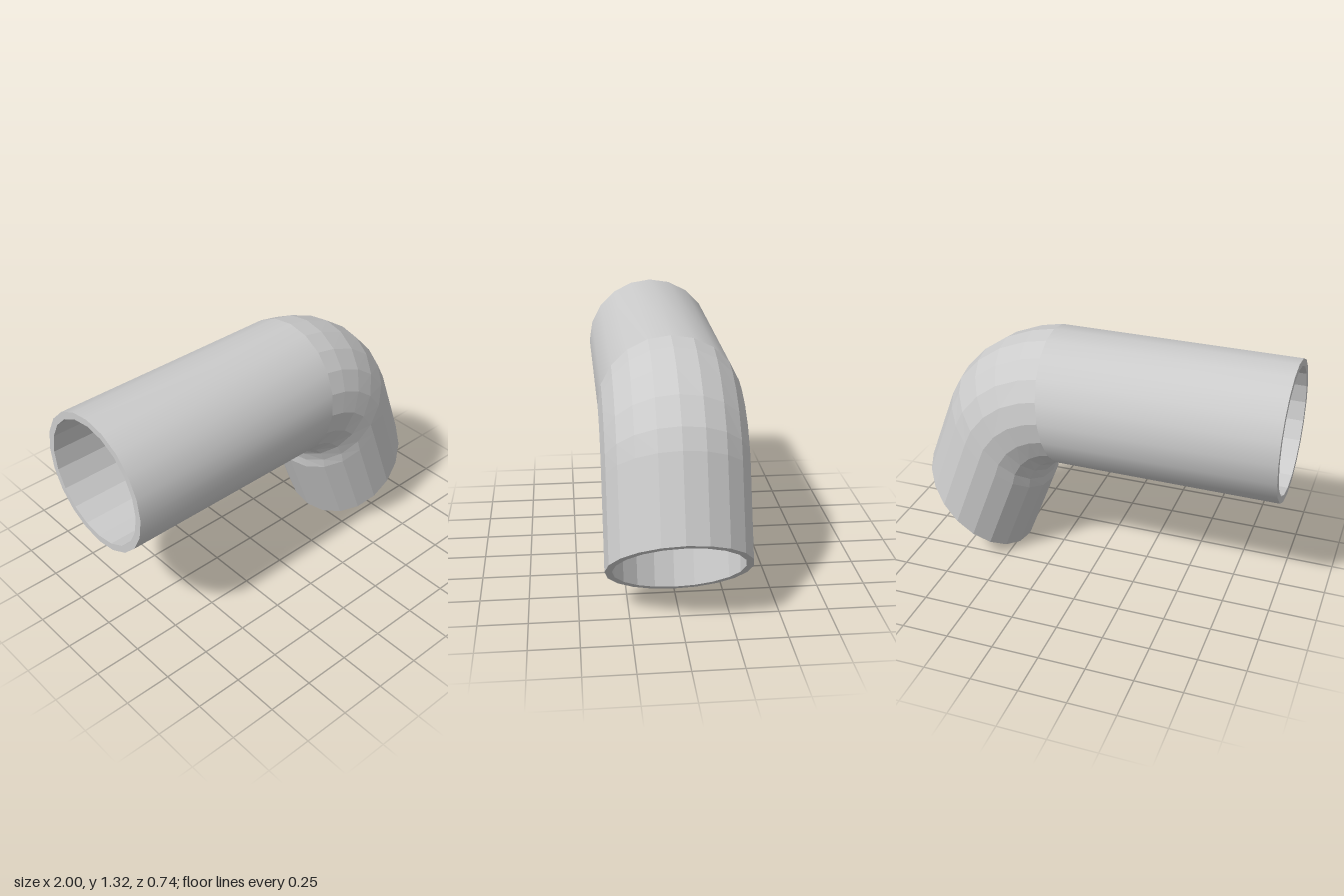
import * as THREE from 'three';

const SIDES = 20, OUTER = 0.37, INNER = 0.333;

// Each ring of the pipe: x and y of its topmost outer point, tilt in degrees
const RINGS = [
  [-1, 1.315, 0],
  [0.28, 1.315, 6.5],
  [0.40, 1.29, 13],
  [0.55, 1.23, 23],
  [0.68, 1.14, 32],
  [0.79, 1.02, 41],
  [0.845, 0.92, 46.5],
  [1, 0.509, 46.5],
];

// Points of one tilted ring at the given radius
function loop([x, y, tilt], radius) {
  const t = THREE.MathUtils.degToRad(tilt);
  const up = new THREE.Vector3(Math.sin(t), Math.cos(t), 0);
  const centre = new THREE.Vector3(x, y, 0).addScaledVector(up, -OUTER);
  return Array.from({ length: SIDES }, (_, j) => {
    const a = (j / SIDES) * Math.PI * 2;
    const p = centre.clone().addScaledVector(up, radius * Math.cos(a));
    p.z += radius * Math.sin(a);
    return p;
  });
}

// Skin through a sequence of loops
function loft(name, loops, flat) {
  const index = [];
  for (let i = 0; i < loops.length - 1; i++) {
    for (let j = 0; j < SIDES; j++) {
      const k = (j + 1) % SIDES;
      const a = i * SIDES + j, b = i * SIDES + k;
      const c = a + SIDES, d = b + SIDES;
      index.push(a, b, c, b, d, c);
    }
  }
  let geometry = new THREE.BufferGeometry().setFromPoints(loops.flat());
  geometry.setIndex(index);
  if (flat) geometry = geometry.toNonIndexed();
  geometry.computeVertexNormals();
  const material = new THREE.MeshStandardMaterial({ color: 0xcccccc, flatShading: flat });
  const mesh = new THREE.Mesh(geometry, material);
  mesh.name = name;
  return mesh;
}

export function createModel() {
  const group = new THREE.Group();
  group.name = 'bentPipe';
  const outer = RINGS.map((r) => loop(r, OUTER));
  const inner = RINGS.map((r) => loop(r, INNER));
  const last = RINGS.length - 1;

  group.add(
    // smooth straight run, then the faceted elbow with its slanted mouth
    loft('straightPipe', outer.slice(0, 2), false),
    loft('elbow', outer.slice(1), true),
    // inside wall and the two end rims
    loft('innerWall', [...inner].reverse(), true),
    loft('straightRim', [inner[0], outer[0]], true),
    loft('elbowRim', [outer[last], inner[last]], true),
  );
  return group;
}
